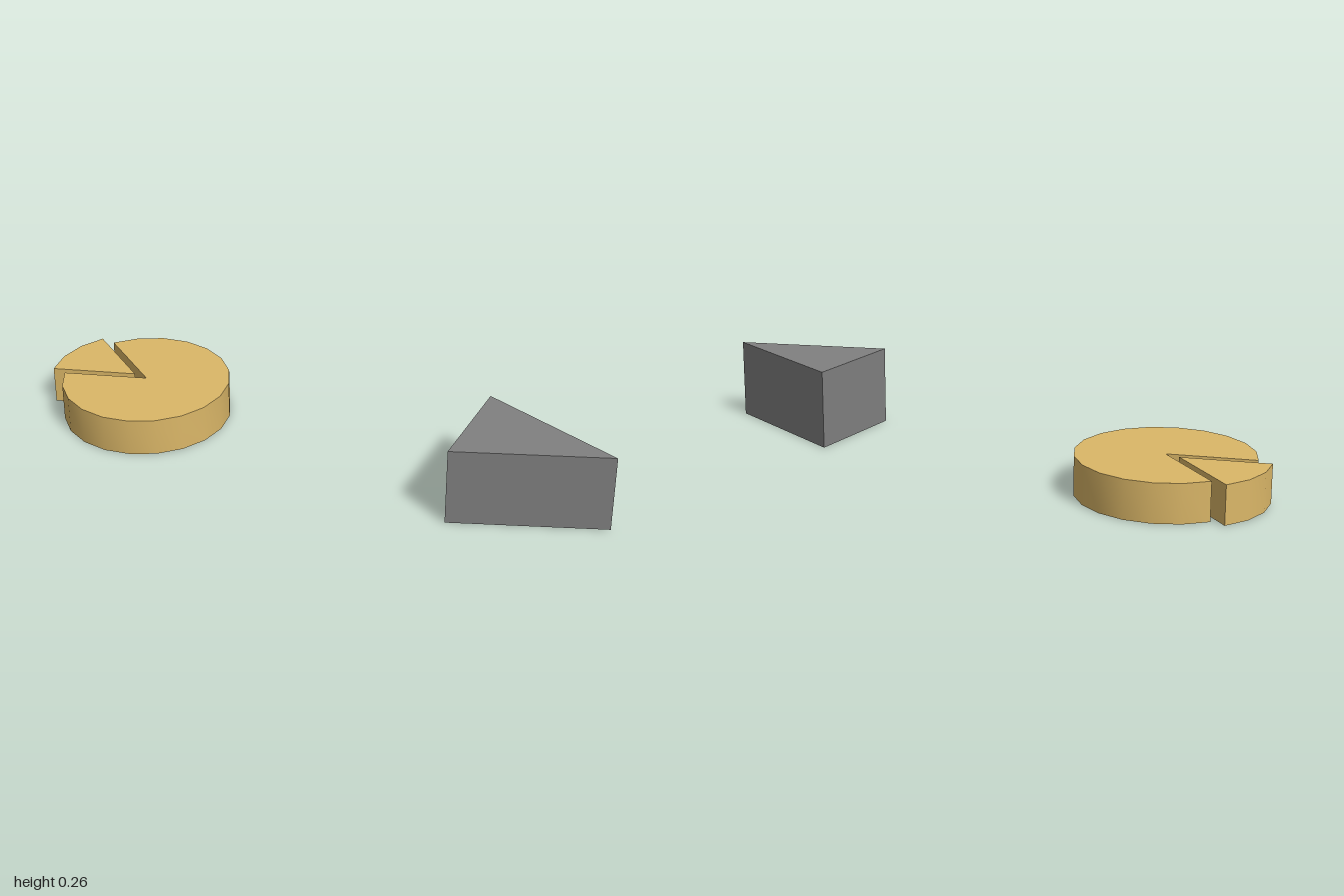
import * as THREE from 'three';
import { toCreasedNormals } from 'three/addons/utils/BufferGeometryUtils.js';

const STEP = Math.PI / 10; // the disc is a 20-sided circle
const RADIUS = 0.286;

// Upright prism from a plan outline of [x, -z] points, counter-clockwise
function prism(name, points, height, material) {
  const shape = new THREE.Shape(points.map(([x, y]) => new THREE.Vector2(x, y)));
  const geometry = new THREE.ExtrudeGeometry(shape, { depth: height, bevelEnabled: false });
  geometry.rotateX(-Math.PI / 2);
  const mesh = new THREE.Mesh(toCreasedNormals(geometry, 0.5), material);
  mesh.name = name;
  return mesh;
}

// Pie sector between two rim steps, tip at the origin
function sector(name, from, to, material) {
  const points = [[0, 0]];
  for (let i = from; i <= to; i++) {
    points.push([RADIUS * Math.cos(i * STEP), RADIUS * Math.sin(i * STEP)]);
  }
  return prism(name, points, 0.128, material);
}

export function createModel() {
  const gold = new THREE.MeshStandardMaterial({ color: 0xdbb768 });
  gold.name = 'gold';
  const grey = new THREE.MeshStandardMaterial({ color: 0x808080 });
  grey.name = 'grey';

  const model = new THREE.Group();
  model.name = 'cutDiscAndWedge';

  // Round disc with one slice pulled outward
  const disc = new THREE.Group();
  disc.name = 'slicedDisc';
  disc.position.x = -0.664;
  const slice = sector('slice', 8, 11, gold);
  slice.position.set(-0.05, 0, -0.008);
  disc.add(sector('discBody', 11, 28, gold), slice);

  // Triangular block pointing to +x
  const block = prism('triangularBlock', [[0.518, -0.195], [1, -0.01], [0.518, 0.174]], 0.263, grey);

  model.add(disc, block);
  return model;
}
